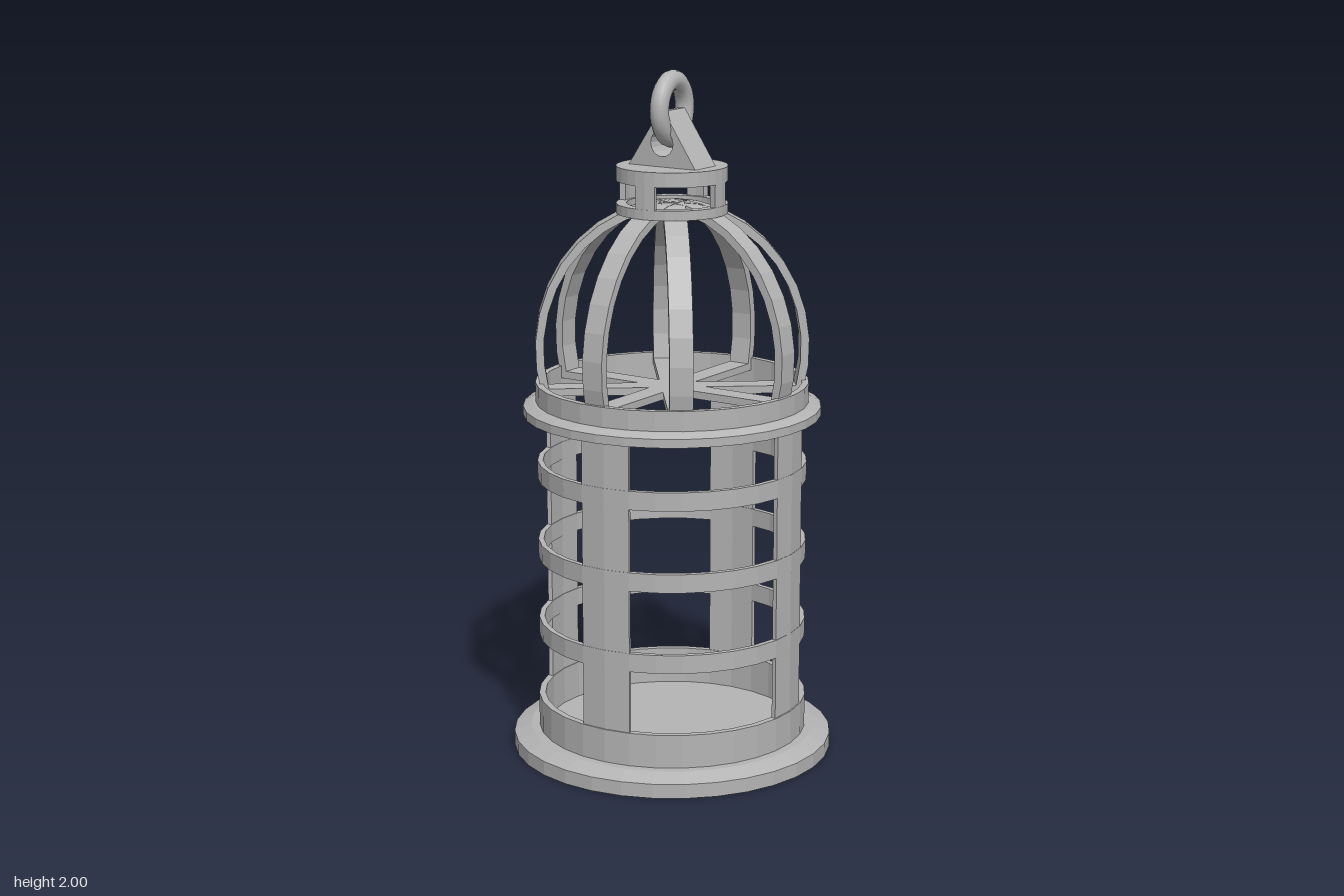
import * as THREE from 'three';

const SIDES = 32;
const STEP = (Math.PI * 2) / SIDES;

export function createModel() {
  const model = new THREE.Group();
  const metal = new THREE.MeshStandardMaterial({ color: 0xb4b4b4 });
  metal.name = 'grey metal';

  const add = (name, geometry, flat = true) => {
    let g = geometry;
    if (flat) {
      if (g.index) g = g.toNonIndexed();
      g.computeVertexNormals();
    }
    const mesh = new THREE.Mesh(g, metal);
    mesh.name = name;
    model.add(mesh);
    return mesh;
  };

  // Revolved part; the profile runs up the outside and down the inside
  const turn = (name, profile, segments = SIDES, start = 0) =>
    add(name, new THREE.LatheGeometry(
      profile.map(([r, y]) => new THREE.Vector2(r, y)), segments, start, segments * STEP));

  const band = (r0, r1, y0, y1) => [[r0, y0], [r1, y0], [r1, y1], [r0, y1], [r0, y0]];

  // Solid base with a raised rim and sunken floor
  turn('base', [[0, 0], [0.47, 0], [0.47, 0.042], [0.42, 0.062], [0.395, 0.062],
    [0.395, 0.16], [0.376, 0.16], [0.376, 0.05], [0, 0.05]]);

  // Flanged ring under the dome
  turn('upperRing', [[0.376, 1.01], [0.432, 1.01], [0.432, 1.035], [0.405, 1.048],
    [0.396, 1.048], [0.396, 1.105], [0.376, 1.105], [0.376, 1.01]]);

  // Horizontal hoops around the cage
  for (const y of [0.37, 0.608, 0.845]) turn('cageHoop', band(0.376, 0.392, y - 0.027, y + 0.027));

  // Collar ring and cap
  turn('collarRing', band(0.13, 0.16, 1.595, 1.623));
  turn('collarCap', [[0, 1.688], [0.16, 1.688], [0.16, 1.73], [0, 1.73]]);

  // Curved uprights on the four sides of the cage and the collar
  for (let i = 0; i < 4; i++) {
    const start = i * Math.PI / 2 - STEP;
    turn('cagePost', band(0.378, 0.391, 0.06, 1.02), 2, start);
    turn('collarPost', band(0.14, 0.159, 1.61, 1.70), 2, start);
    // Side faces closing each upright
    for (const [r0, r1, y0, y1] of [[0.378, 0.391, 0.06, 1.02], [0.14, 0.159, 1.61, 1.70]]) {
      for (const side of [-1, 1]) {
        const end = new THREE.PlaneGeometry(r1 - r0, y1 - y0);
        if (side < 0) end.rotateY(Math.PI);
        end.translate((r0 + r1) / 2, (y0 + y1) / 2, 0);
        end.rotateY(i * Math.PI / 2 - side * STEP);
        add('postEdge', end);
      }
    }
  }

  // Dome straps: closed arches, each with a straight spoke across the bottom
  const arch = (Type, a, b, bottom) => {
    const t = Math.asin((bottom - 1.2) / b);
    const path = new Type();
    path.absellipse(0, 1.2, a, b, t, Math.PI - t, false, 0);
    path.closePath();
    return path;
  };
  const strap = arch(THREE.Shape, 0.395, 0.43, 1.068);
  strap.holes.push(arch(THREE.Path, 0.371, 0.406, 1.09));
  for (const degrees of [5, 57, 95, 147]) {
    const g = new THREE.ExtrudeGeometry(strap, { depth: 0.066, bevelEnabled: false, curveSegments: 10 });
    g.translate(0, 0, -0.033);
    add('domeStrap', g).rotation.y = -THREE.MathUtils.degToRad(degrees);
  }

  // Triangular lug with an eye for the hanging ring
  const lug = new THREE.Shape();
  lug.moveTo(-0.115, 1.728);
  lug.lineTo(0.115, 1.728);
  lug.lineTo(0.008, 1.888);
  lug.lineTo(-0.008, 1.888);
  lug.closePath();
  const eye = new THREE.Path();
  eye.absarc(0, 1.797, 0.038, 0, Math.PI * 2, true);
  lug.holes.push(eye);
  const lugGeometry = new THREE.ExtrudeGeometry(lug, { depth: 0.104, bevelEnabled: false, curveSegments: 8 });
  lugGeometry.translate(0, 0, -0.052);
  add('lug', lugGeometry).rotation.y = -THREE.MathUtils.degToRad(5);

  // Hanging ring
  const ring = new THREE.TorusGeometry(0.073, 0.027, 12, 32);
  ring.rotateY(Math.PI / 2);
  ring.scale(1, 1.1, 1);
  ring.translate(0, 1.89, 0);
  add('hangingRing', ring, false);

  return model;
}
